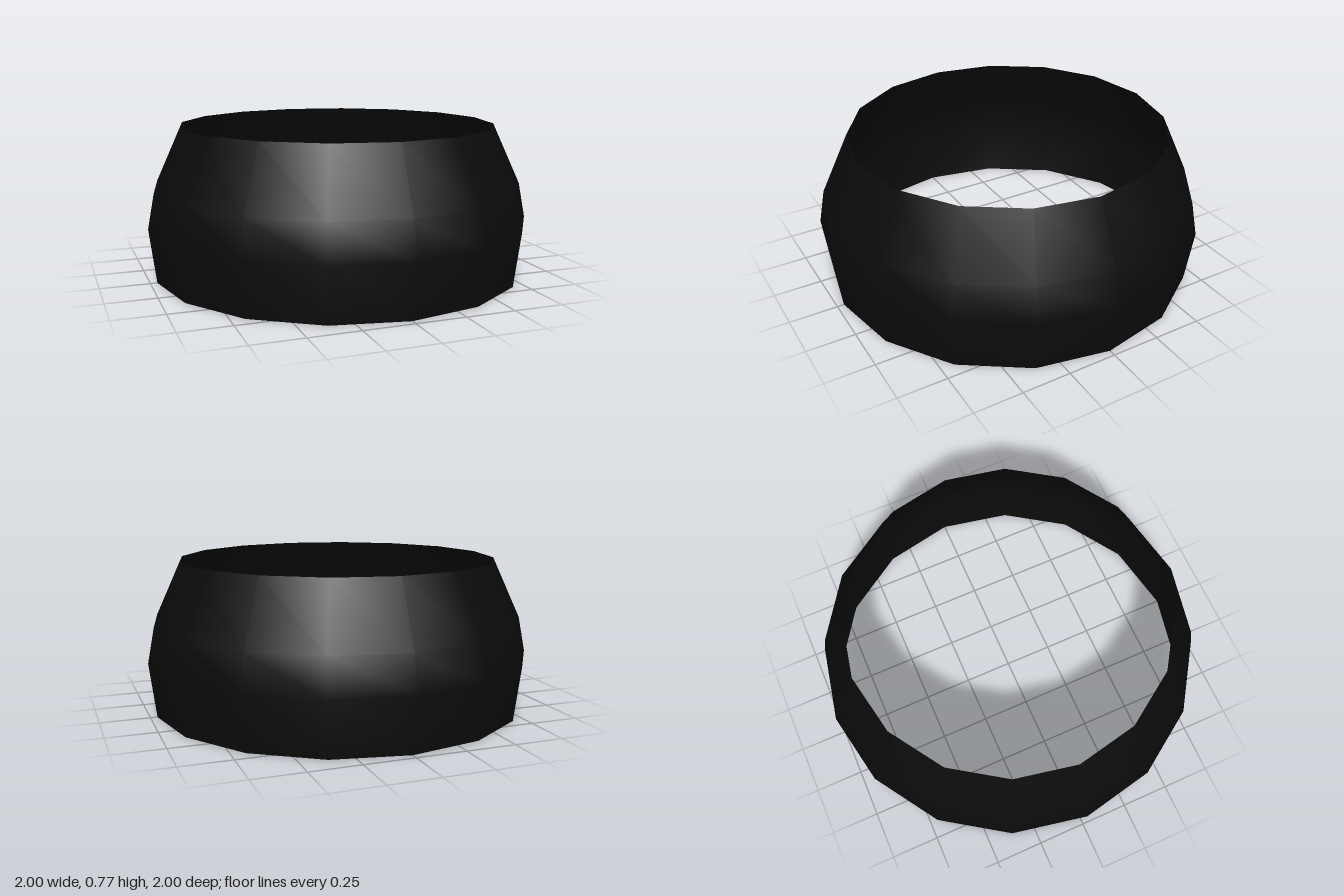
import * as THREE from 'three';

export function createModel() {
  const group = new THREE.Group();
  group.name = 'openBand';

  const black = new THREE.MeshStandardMaterial({ color: 0x0b0b0b, side: THREE.DoubleSide });
  black.name = 'black';

  // Thin sixteen-sided wall, open at both ends: radius and height from bottom to top
  const profile = [[0.965, 0], [1, 0.28], [0.965, 0.46], [0.82, 0.775]]
    .map(([r, y]) => new THREE.Vector2(r, y));
  const band = new THREE.Mesh(new THREE.LatheGeometry(profile, 16), black);
  band.name = 'bandWall';
  group.add(band);

  return group;
}
